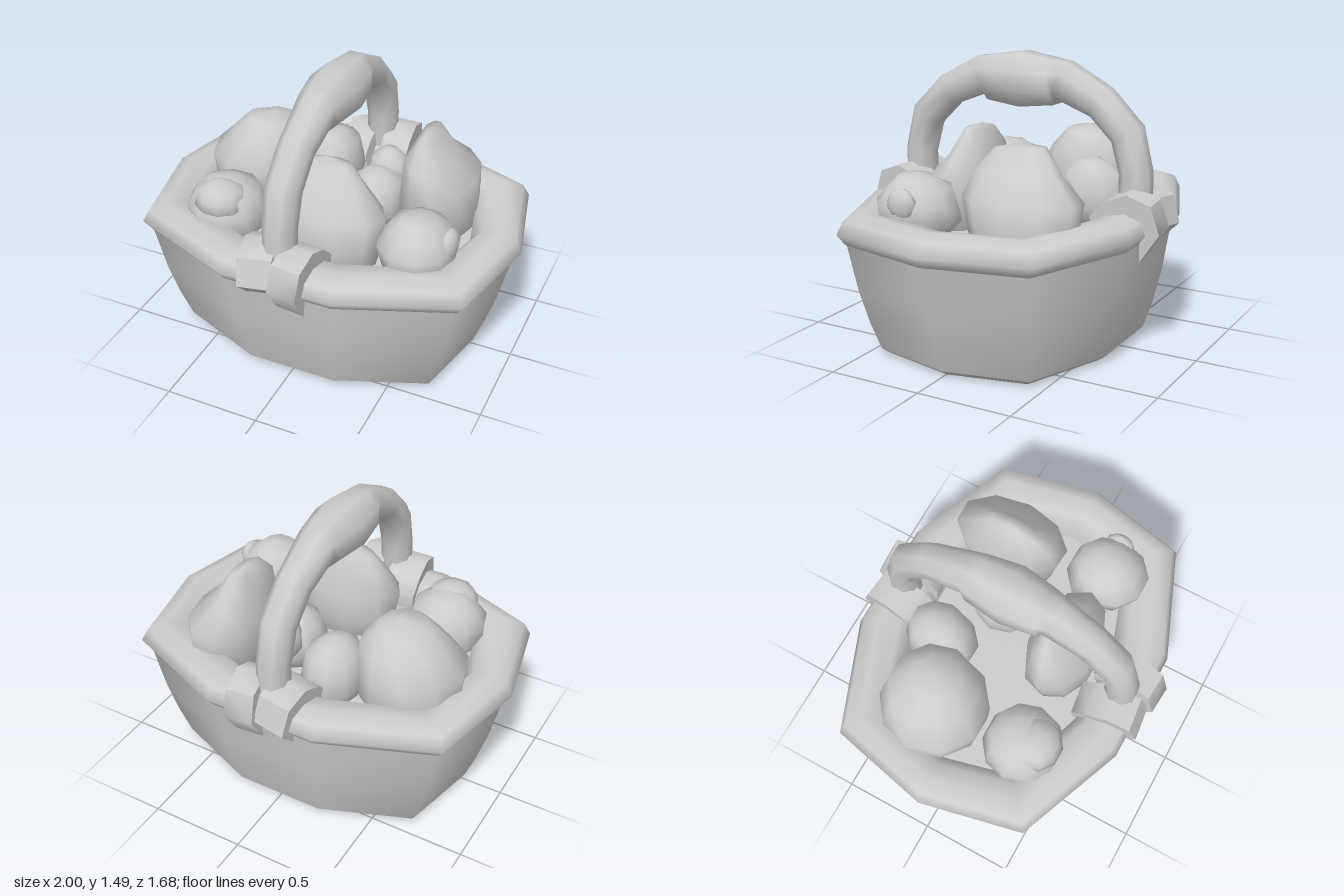
import * as THREE from 'three';
import { mergeVertices, toCreasedNormals } from 'three/addons/utils/BufferGeometryUtils.js';

const material = new THREE.MeshStandardMaterial({ color: 0xcccccc, side: THREE.DoubleSide });

// Ten-sided basket outline, running from +x towards +z
const OUTLINE = [[1, 0], [0.88, 0.54], [0.3, 0.77], [-0.3, 0.77], [-0.88, 0.54],
  [-1, 0], [-0.88, -0.54], [-0.3, -0.77], [0.3, -0.77], [0.88, -0.54]];

// Outline scaled separately in x and z at a given height
const ring = ([sx, sz, y]) => OUTLINE.map(([x, z]) => [x * sx, y, z * sz]);

// Skin a list of closed rings with equal point counts
function loft(rings) {
  const n = rings[0].length, index = [];
  for (let i = 0; i < rings.length - 1; i++) {
    for (let j = 0; j < n; j++) {
      const a = i * n + j, b = i * n + (j + 1) % n;
      index.push(a, a + n, b, b, a + n, b + n);
    }
  }
  const geometry = new THREE.BufferGeometry();
  geometry.setAttribute('position', new THREE.Float32BufferAttribute(rings.flat(2), 3));
  geometry.setIndex(index);
  geometry.computeVertexNormals();
  return geometry;
}

// Arched handle with an octagonal section that swells at the grip
function handleGeometry() {
  const half = [[0.64, 0.68, 0.08], [0.64, 0.92, 0.08], [0.59, 1.115, 0.085],
    [0.445, 1.26, 0.085], [0.23, 1.36, 0.098], [0.19, 1.347, 0.115], [0, 1.35, 0.14]];
  const path = [...half, ...half.slice(0, -1).reverse().map(([z, y, r]) => [-z, y, r])];
  return loft(path.map(([z, y, r], i) => {
    const a = path[Math.max(i - 1, 0)], b = path[Math.min(i + 1, path.length - 1)];
    const len = Math.hypot(b[0] - a[0], b[1] - a[1]);
    const ny = -(b[0] - a[0]) / len, nz = (b[1] - a[1]) / len;
    return Array.from({ length: 8 }, (_, k) => {
      const t = (k + 0.5) * Math.PI / 4, R = r / Math.cos(Math.PI / 8);
      const s = R * Math.sin(t);
      return [-0.02 + R * Math.cos(t), y + ny * s, z + nz * s];
    });
  }));
}

// Band folded over the rim, profile drawn in z and y
function wrapGeometry(width, low) {
  const profile = [[0.48, 0.64], [0.73, low + 0.1], [0.73, low], [0.83, 0.67], [0.785, 0.81],
    [0.66, 0.855], [0.55, 0.81], [0.47, 0.73]];
  const shape = new THREE.Shape(profile.map(p => new THREE.Vector2(...p)));
  const geometry = new THREE.ExtrudeGeometry(shape, { depth: width, bevelEnabled: false });
  geometry.translate(-0.66, -0.7, -width / 2);
  geometry.rotateY(-Math.PI / 2);
  return toCreasedNormals(geometry, 0.9);
}

// Lumpy fruit: a coarse ball, narrowed towards an offset crest and roughened
function fruitGeometry({ size, narrow = [0, 0], crest = [0, 0], rough = 0.05, seed }) {
  const base = new THREE.SphereGeometry(1, 10, 7);
  base.deleteAttribute('uv');
  base.deleteAttribute('normal');
  const geometry = mergeVertices(base, 1e-4);
  const p = geometry.attributes.position;
  for (let i = 0; i < p.count; i++) {
    const x = p.getX(i), y = p.getY(i), z = p.getZ(i), up = Math.max(0, y);
    const k = 1 + rough * Math.sin(i * 12.9 + seed * 7.3);
    p.setXYZ(i, size[0] * (x * k * (1 - narrow[0] * up) + crest[0] * up),
      size[1] * y * (up > 0.95 ? 1 : k),
      size[2] * (z * k * (1 - narrow[1] * up) + crest[1] * up));
  }
  geometry.computeVertexNormals();
  return geometry;
}

const FRUITS = [
  { name: 'roundFruitBackRight', at: [-0.535, 0.75, -0.175], size: [0.285, 0.3, 0.295], crest: [0.25, 0] },
  { name: 'roundFruitBackMiddle', at: [-0.18, 0.74, -0.33], size: [0.165, 0.2, 0.2] },
  { name: 'lowFruitMiddle', at: [0.16, 0.7, -0.14], size: [0.16, 0.17, 0.18] },
  { name: 'smallFruitMiddle', at: [0.17, 0.78, -0.28], size: [0.12, 0.14, 0.11] },
  { name: 'ridgedFruitBackLeft', at: [0.48, 0.77, -0.27], size: [0.22, 0.34, 0.31],
    narrow: [0.5, 0], crest: [-0.38, 0.2], rough: 0.08 },
  { name: 'ridgedFruitFront', at: [0.08, 0.77, 0.28], size: [0.3, 0.34, 0.2],
    narrow: [0.05, 0.45], crest: [-0.15, -0.3], rough: 0.06 },
  { name: 'roundFruitFrontLeft', at: [0.55, 0.75, 0.28], size: [0.2, 0.185, 0.22] },
  { name: 'roundFruitFrontRight', at: [-0.485, 0.73, 0.325], size: [0.215, 0.19, 0.21] },
  { name: 'smallFruitFrontRight', at: [-0.48, 0.83, 0.4], size: [0.14, 0.1, 0.13] },
  { name: 'fruitStub', at: [0.71, 0.81, 0.27], size: [0.045, 0.08, 0.08] },
];

export function createModel() {
  const model = new THREE.Group();
  model.name = 'fruitBasket';
  const add = (name, geometry, parent = model) => {
    const mesh = new THREE.Mesh(geometry, material);
    mesh.name = name;
    parent.add(mesh);
    return mesh;
  };

  // Basket shell, base, rolled rim with inner wall, and the filling under the fruit
  add('basketWall', loft([[0.79, 0.79, 0.03], [0.845, 0.85, 0.18], [0.9, 0.9, 0.36],
    [0.96, 0.95, 0.63]].map(ring)));
  add('basketBase', loft([[0, 0, 0], [0.75, 0.74, 0], [0.79, 0.79, 0.03]].map(ring)));
  add('basketRim', loft([[0.94, 0.93, 0.59], [0.965, 0.955, 0.61], [1, 1, 0.66], [0.965, 0.965, 0.725],
    [0.89, 0.86, 0.755], [0.79, 0.72, 0.735], [0.735, 0.645, 0.67], [0.72, 0.63, 0.5]].map(ring)));
  add('basketFilling', loft([[0.76, 0.67, 0.57], [0, 0, 0.59]].map(ring)));

  // Handle
  add('handle', handleGeometry());

  // Two bands at each end of the handle
  for (const side of [1, -1]) {
    const ends = new THREE.Group();
    ends.name = side > 0 ? 'frontWraps' : 'backWraps';
    ends.scale.z = side;
    const right = add('rightWrap', wrapGeometry(0.18, 0.57), ends);
    right.position.set(-0.105, 0.69, 0.64);
    right.rotation.set(0, 0.12, 0.08);
    const left = add('leftWrap', wrapGeometry(0.155, 0.52), ends);
    left.position.set(0.085, 0.7, 0.665);
    left.rotation.set(0, -0.07, -0.04);
    model.add(ends);
  }

  // Fruit
  FRUITS.forEach((fruit, i) => {
    add(fruit.name, fruitGeometry({ ...fruit, seed: i + 1 })).position.set(...fruit.at);
  });
  return model;
}
